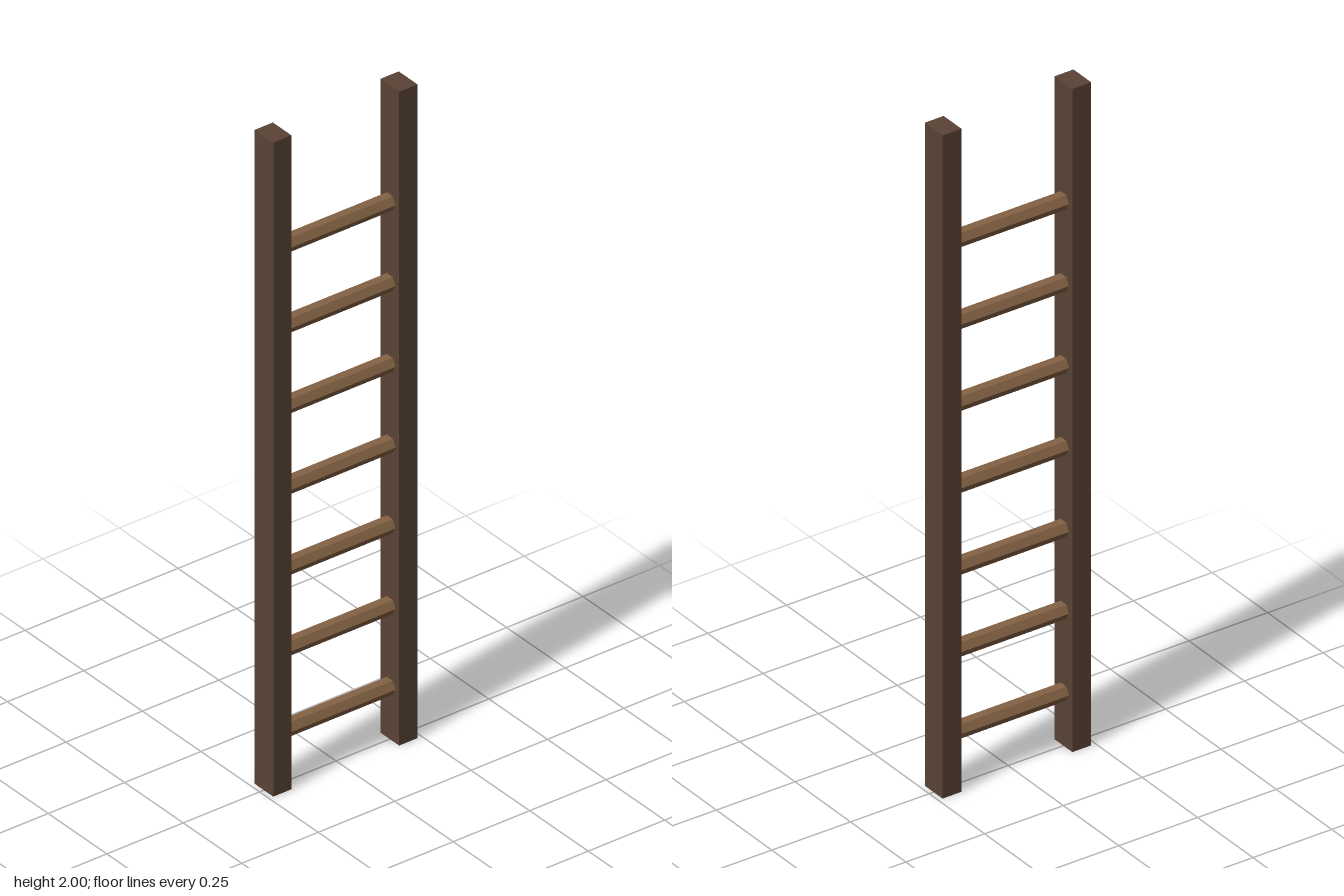
import * as THREE from 'three';

export function createModel() {
  const group = new THREE.Group();
  const darkWood = new THREE.MeshStandardMaterial({ color: 0x5a4335, flatShading: true });
  darkWood.name = 'dark wood';
  const lightWood = new THREE.MeshStandardMaterial({ color: 0x856345, flatShading: true });
  lightWood.name = 'light wood';

  // Two upright side rails
  const railGeometry = new THREE.BoxGeometry(0.06, 2, 0.08);
  for (const [name, side] of [['leftRail', 1], ['rightRail', -1]]) {
    const rail = new THREE.Mesh(railGeometry, darkWood);
    rail.name = name;
    rail.position.set(side * 0.206, 1, 0);
    group.add(rail);
  }

  // Seven hexagonal rungs, set slightly into the rails
  const rungGeometry = new THREE.CylinderGeometry(0.025, 0.025, 0.37, 6).rotateZ(Math.PI / 2);
  for (let i = 0; i < 7; i++) {
    const rung = new THREE.Mesh(rungGeometry, lightWood);
    rung.name = `rung${i + 1}`;
    rung.position.y = 0.163 + i * 0.247;
    group.add(rung);
  }
  return group;
}
